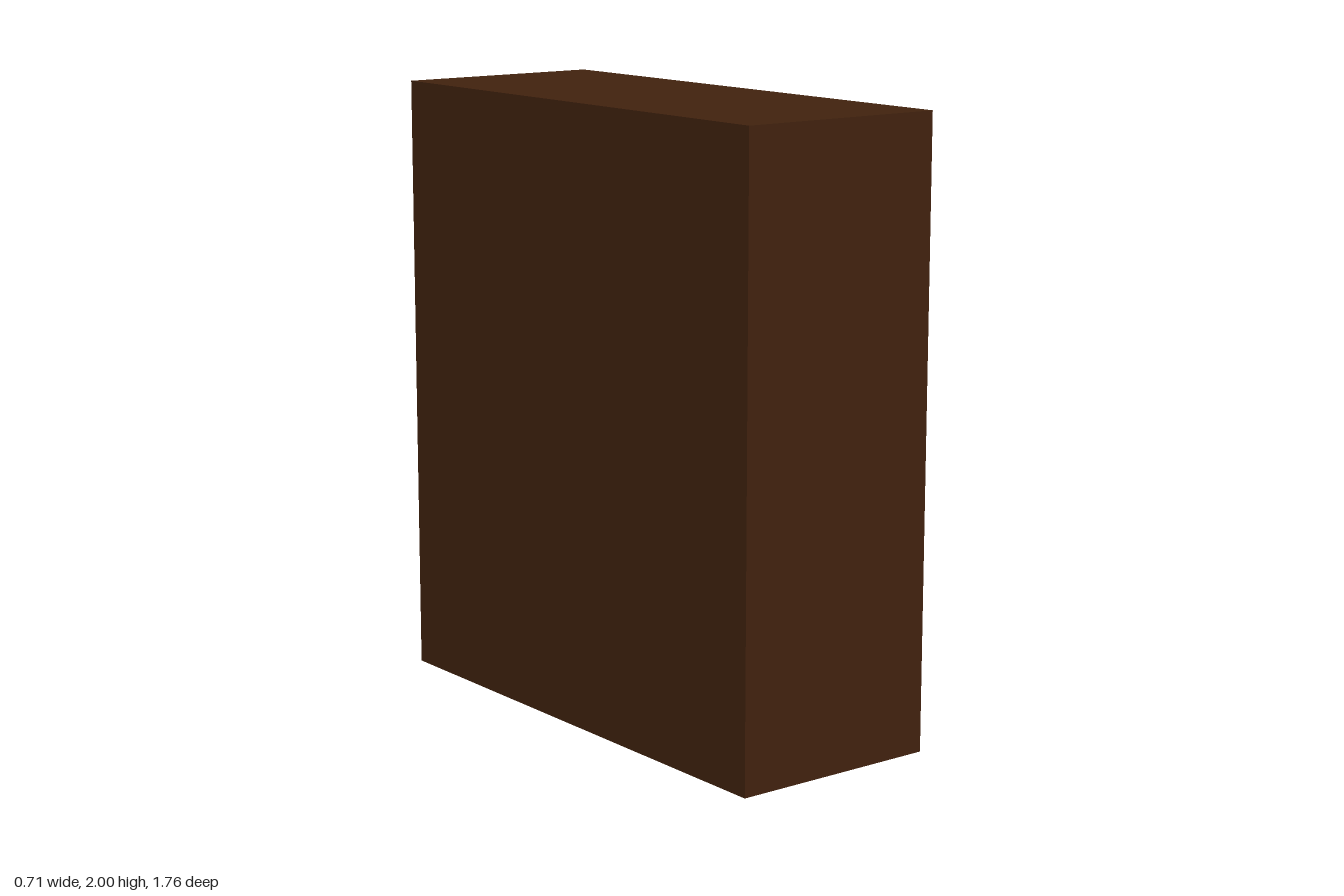
import * as THREE from 'three';

const U = 2 / 17; // one block
const paint = (name, color) => Object.assign(new THREE.MeshStandardMaterial({ color }), { name });
const M = {
  wood: paint('dark wood', 0x41220e),
  tan: paint('tan', 0xc8a45c),
  lime: paint('bright green', 0x0fa60f),
  green: paint('green', 0x115a11),
  red: paint('red', 0xb20e0e),
  rose: paint('rose', 0x8b3538),
  purple: paint('purple', 0x613761),
  navy: paint('navy', 0x0e0e30),
  pine: paint('pine green', 0x0e220f),
  olive: paint('olive', 0x60602f),
};

// Box given by its lower and upper corners, in blocks
function block(parent, name, material, [x0, y0, z0], [x1, y1, z1]) {
  const mesh = new THREE.Mesh(
    new THREE.BoxGeometry((x1 - x0) * U, (y1 - y0) * U, (z1 - z0) * U), material);
  mesh.position.set((x0 + x1) / 2 * U, (y0 + y1) / 2 * U, (z0 + z1) / 2 * U);
  mesh.name = name;
  parent.add(mesh);
}

function subgroup(parent, name) {
  const g = new THREE.Group();
  g.name = name;
  parent.add(g);
  return g;
}

// Row of books from +z to -z: [colour, height, setback from the open side]
function bookRow(parent, name, y, books) {
  const row = subgroup(parent, name);
  books.forEach(([colour, height, setback], i) =>
    block(row, 'book', M[colour], [0, y, 5.5 - i], [3 - setback, y + height, 6.5 - i]));
}

export function createModel() {
  const model = new THREE.Group();
  model.name = 'bookcase';

  // Cabinet, open towards +x
  const cabinet = subgroup(model, 'cabinet');
  block(cabinet, 'back', M.wood, [-3, 0, -7.5], [0, 17, 7.5]);
  for (const z of [-7.5, 6.5]) block(cabinet, 'sidePanel', M.wood, [0, 0, z], [3, 17, z + 1]);
  for (const [name, y0, y1] of [['base', 0, 2], ['shelf', 6, 7], ['shelf', 11, 12], ['topPanel', 16, 17]])
    block(cabinet, name, M.wood, [0, y0, -6.5], [3, y1, 6.5]);

  bookRow(model, 'lowerBooks', 2, [
    ['rose', 4, 1], ['pine', 3, 2], ['navy', 4, 1], ['red', 4, 0], ['rose', 3, 1],
    ['pine', 4, 0], ['navy', 4, 1], ['red', 3, 2], ['green', 4, 1], ['red', 4, 1],
    ['purple', 3, 0], ['olive', 4, 1], ['pine', 4, 0],
  ]);
  bookRow(model, 'upperBooks', 12, [
    ['olive', 3, 2], ['rose', 4, 1], ['lime', 4, 2], ['green', 4, 1], ['red', 4, 1],
    ['lime', 4, 2], ['purple', 4, 1], ['navy', 4, 1], ['pine', 4, 2], ['red', 3, 2],
    ['tan', 4, 1], ['wood', 4, 1], ['wood', 3, 2],
  ]);

  // Wooden bowl on the middle shelf
  const bowl = subgroup(model, 'bowl');
  block(bowl, 'bowlFoot', M.wood, [1, 7, 2.5], [2, 8, 5.5]);
  block(bowl, 'bowlBody', M.wood, [0, 8, 2.5], [3, 9, 5.5]);
  for (const z of [1.5, 5.5]) block(bowl, 'bowlEnd', M.wood, [1, 8, z], [2, 9, z + 1]);

  // Framed panel leaning on the back of the middle shelf
  const picture = subgroup(model, 'framedPanel');
  block(picture, 'panel', M.tan, [0, 7, -5.5], [1, 10, -1.5]);
  block(picture, 'panelCentre', M.lime, [1, 8, -4.5], [1.03, 9, -2.5]);

  return model;
}
